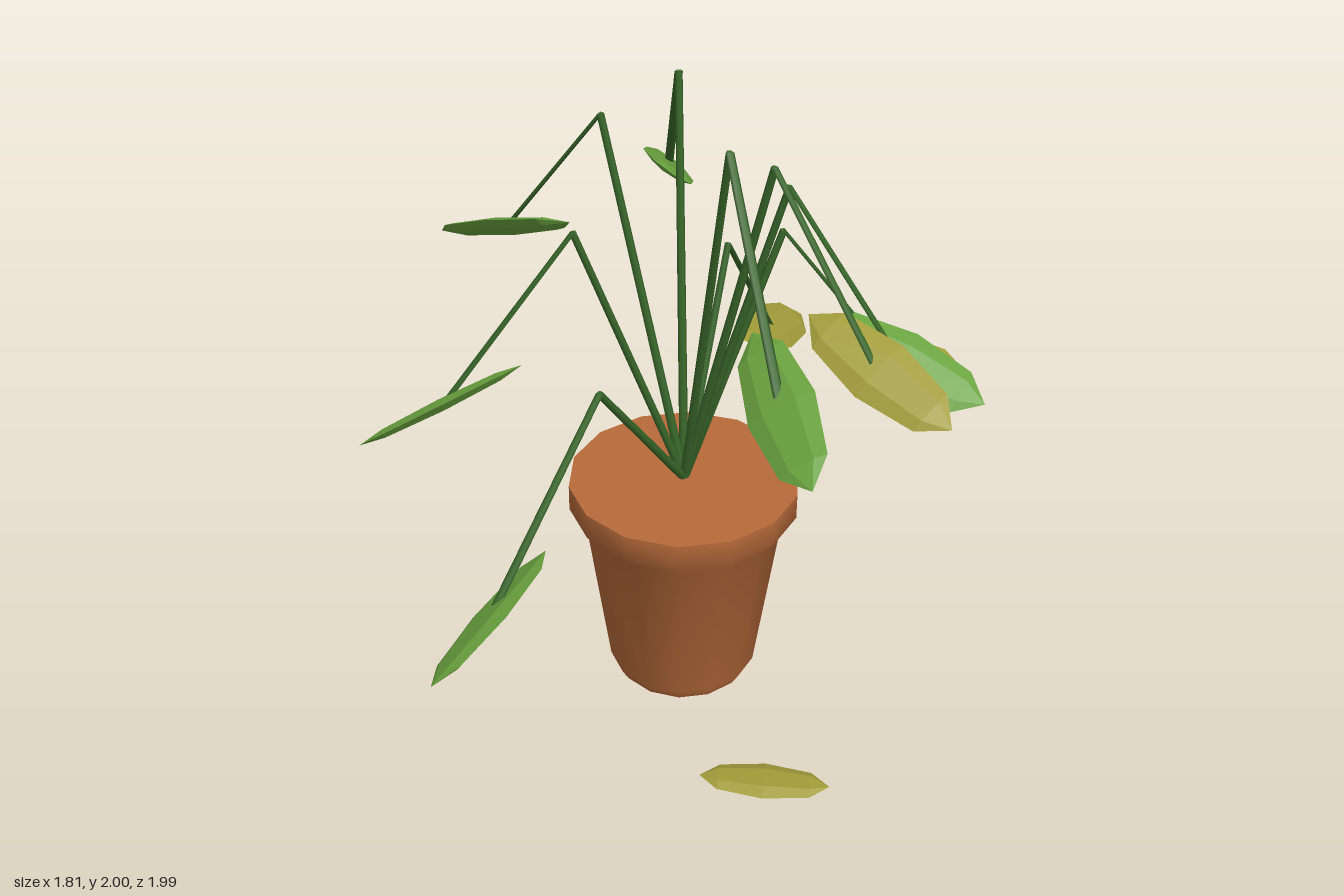
import * as THREE from 'three';
import { toCreasedNormals } from 'three/addons/utils/BufferGeometryUtils.js';

const mat = (name, color, flatShading = false) => {
  const m = new THREE.MeshStandardMaterial({ color, flatShading });
  m.name = name;
  return m;
};

const POT_X = -0.03, POT_Z = -0.146, SOIL_Y = 0.72;

// Direction (x, z) and reach of each leaf centre from the pot axis, its height,
// then the radius and height of the kink in its stem.
const SPROUTS = [
  { dx: -0.16, dz: -0.617, y: 0.93, kinkR: 0.28, kinkY: 1.405, dry: true },
  { dx: 0.395, dz: -0.507, y: 1.085, kinkR: 0.284, kinkY: 1.555, dry: true },
  { dx: 0.62, dz: -0.217, y: 1.30, kinkR: 0.302, kinkY: 1.775 },
  { dx: 0.69, dz: 0, y: 1.40, kinkR: 0.31, kinkY: 1.875, dry: true },
  { dx: 0.72, dz: 0.458, y: 1.515, kinkR: 0.386, kinkY: 1.995 },
  { dx: 0.08, dz: 0.898, y: 0.76, kinkR: 0.404, kinkY: 1.235 },
  { dx: -0.34, dz: 0.663, y: 1.16, kinkR: 0.338, kinkY: 1.635 },
  { dx: -0.635, dz: 0.118, y: 1.415, kinkR: 0.285, kinkY: 1.87 },
  { dx: -0.475, dz: -0.452, y: 1.47, kinkR: 0.288, kinkY: 1.94 },
];

export function createModel() {
  const model = new THREE.Group();
  model.name = 'wiltedPottedPlant';
  const terracotta = mat('terracotta', 0xb86b3a);
  const stemGreen = mat('stemGreen', 0x386629);
  const leafGreen = mat('leafGreen', 0x69a23e, true);
  const dryYellow = mat('dryYellow', 0xa29c3a, true);

  const add = (parent, name, geometry, material) => {
    const mesh = new THREE.Mesh(geometry, material);
    mesh.name = name;
    parent.add(mesh);
    return mesh;
  };

  // Pot: 14-sided, filled to the brim, with a softly flared rim
  const profile = [
    [0, 0], [0.215, 0], [0.238, 0.04], [0.312, 0.59],
    [0.36, 0.64], [0.36, 0.725], [0, 0.725],
  ].map(([r, y]) => new THREE.Vector2(r, y));
  const potGeometry = new THREE.LatheGeometry(profile, 14, Math.PI / 2);
  const pot = add(model, 'pot', toCreasedNormals(potGeometry, 1), terracotta);
  pot.position.set(POT_X, 0, POT_Z);

  // Leaf: a flattened six-sided spindle, long along x
  const leafGeometry = new THREE.SphereGeometry(1, 6, 4);
  leafGeometry.rotateY(Math.PI / 2).rotateZ(Math.PI / 2);
  leafGeometry.scale(0.257, 0.02, 0.096);

  // Straight stem piece between two points of the sprout's own x-y plane
  const stemPiece = (parent, name, a, b, rTop, rBottom, flatten) => {
    const d = b.clone().sub(a);
    const geometry = new THREE.CylinderGeometry(rTop, rBottom, d.length(), 6);
    const piece = add(parent, name, geometry, stemGreen);
    piece.position.set((a.x + b.x) / 2, (a.y + b.y) / 2, 0);
    piece.rotation.z = Math.atan2(d.y, d.x) - Math.PI / 2;
    piece.scale.x = flatten;
  };

  // Sprouts: a rising stem, a kink, a drooping stem and a tilted leaf
  for (const s of SPROUTS) {
    const sprout = new THREE.Group();
    sprout.name = 'sprout';
    sprout.position.set(POT_X, 0, POT_Z);
    sprout.rotation.y = Math.atan2(-s.dz, s.dx);
    model.add(sprout);

    const reach = Math.hypot(s.dx, s.dz);
    const root = new THREE.Vector2(0, SOIL_Y);
    const kink = new THREE.Vector2(s.kinkR, s.kinkY);
    const end = new THREE.Vector2(reach - 0.015, s.y + 0.01);
    stemPiece(sprout, 'risingStem', root, kink, 0.011, 0.014, 1);
    stemPiece(sprout, 'droopingStem', kink, end, 0.014, 0.012, 0.45);

    const leaf = add(sprout, 'leaf', leafGeometry, s.dry ? dryYellow : leafGreen);
    leaf.position.set(reach, s.y, 0);
    leaf.rotation.set(0.6, 0, -0.32, 'ZXY');
  }

  // Fallen leaf lying on the floor
  const fallen = add(model, 'fallenLeaf', leafGeometry, dryYellow);
  fallen.position.set(0.56, 0.025, 0.145);
  fallen.rotation.y = Math.atan2(0.57, 0.82);
  fallen.scale.set(0.77, 0.9, 0.77);

  return model;
}
